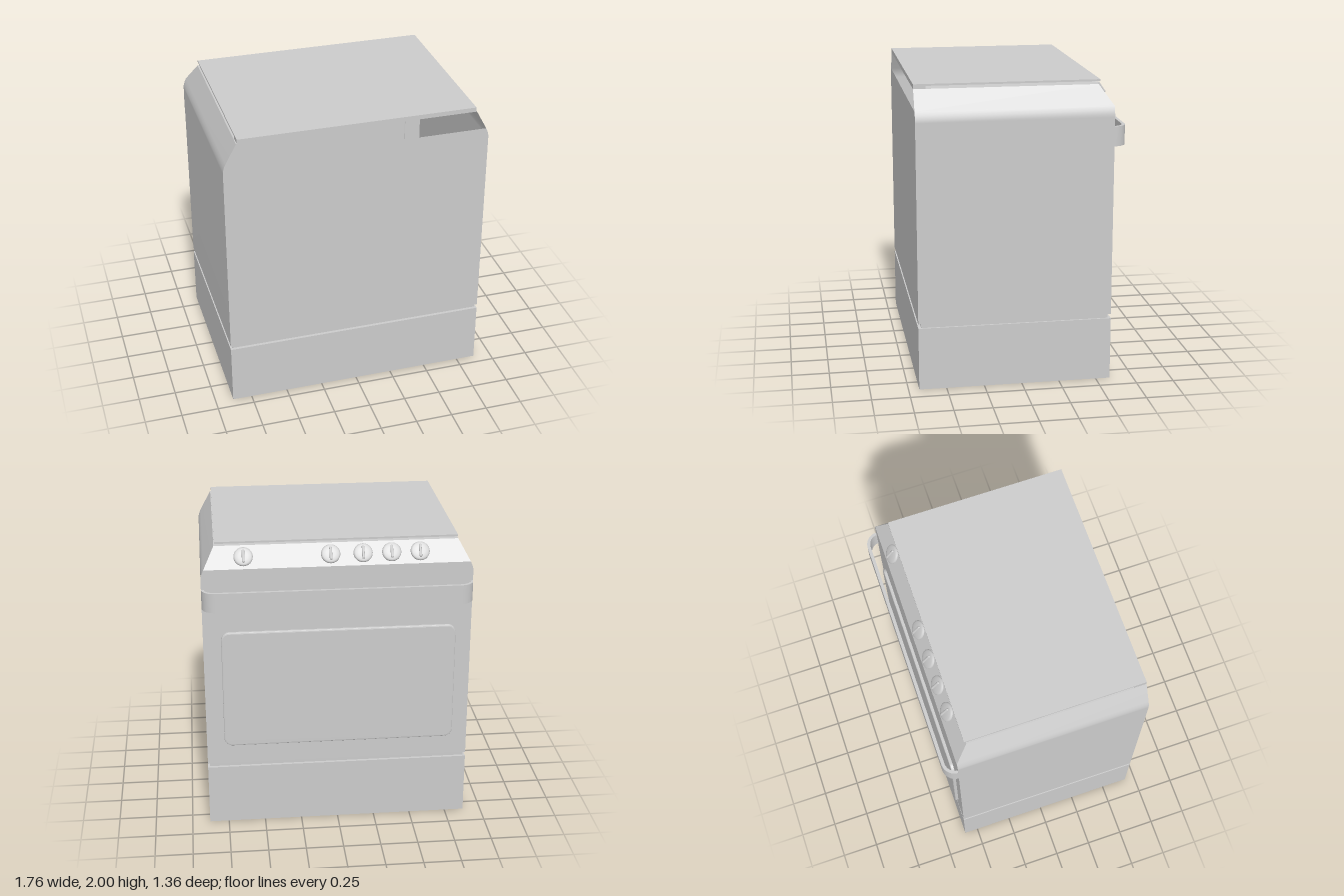
import * as THREE from 'three';

const material = new THREE.MeshStandardMaterial({ color: 0xcccccc });
const sheet = new THREE.MeshStandardMaterial({ color: 0xcccccc, side: THREE.DoubleSide });

const BACK = 0.68, FRONT = -0.595;

// Outline levels of the casing: [y, half width, front z]
const LEVELS = [
  [0.45, 0.88, FRONT], [1.77, 0.88, FRONT], [1.79, 0.879, FRONT], [1.815, 0.872, FRONT],
  [1.84, 0.861, FRONT], [1.97, 0.79, -0.505],
];

function add(parent, name, geometry, x = 0, y = 0, z = 0, mat = material) {
  const mesh = new THREE.Mesh(geometry, mat);
  mesh.name = name;
  mesh.position.set(x, y, z);
  parent.add(mesh);
  return mesh;
}

function box(parent, name, x0, x1, y0, y1, z0, z1) {
  return add(parent, name, new THREE.BoxGeometry(x1 - x0, y1 - y0, z1 - z0),
    (x0 + x1) / 2, (y0 + y1) / 2, (z0 + z1) / 2);
}

// Sheet lofted upwards through rows of [left point, right point], as seen from outside
function panel(parent, name, rows) {
  const geometry = new THREE.BufferGeometry();
  const index = [];
  for (let i = 0; i < rows.length - 1; i++) {
    const a = i * 2;
    index.push(a, a + 1, a + 3, a, a + 3, a + 2);
  }
  geometry.setAttribute('position', new THREE.Float32BufferAttribute(rows.flat(2), 3));
  geometry.setIndex(index);
  geometry.computeVertexNormals();
  return add(parent, name, geometry, 0, 0, 0, sheet);
}

// Hollow casing with a vent opening at the top of the back
function createCasing() {
  const g = new THREE.Group();
  g.name = 'casing';
  const frontRow = ([y, w, z]) => [[w, y, z], [-w, y, z]];
  panel(g, 'ovenFront', LEVELS.slice(0, 5).map(frontRow));
  panel(g, 'controlPanel', LEVELS.slice(4).map(frontRow));
  panel(g, 'backPanel', LEVELS.slice(0, 5).map(([y, w]) => [[-w, y, BACK], [w, y, BACK]]));
  panel(g, 'leftSide', LEVELS.map(([y, w, z]) => [[w, y, BACK], [w, y, z]]));
  panel(g, 'rightSide', LEVELS.map(([y, w, z]) => [[-w, y, z], [-w, y, BACK]]));
  panel(g, 'deck', [
    [[-0.79, 1.97, BACK], [0.79, 1.97, BACK]],
    [[-0.79, 1.97, -0.505], [0.79, 1.97, -0.505]],
  ]);
  panel(g, 'underside', [
    [[-0.88, 0.45, FRONT], [0.88, 0.45, FRONT]],
    [[-0.88, 0.45, BACK], [0.88, 0.45, BACK]],
  ]);
  return g;
}

// Raised oven window with rounded corners
function createWindow() {
  const w = 0.76, h = 0.4, r = 0.045;
  const s = new THREE.Shape();
  s.moveTo(-w + r, -h);
  s.absarc(w - r, -h + r, r, -Math.PI / 2, 0);
  s.absarc(w - r, h - r, r, 0, Math.PI / 2);
  s.absarc(-w + r, h - r, r, Math.PI / 2, Math.PI);
  s.absarc(-w + r, -h + r, r, Math.PI, Math.PI * 1.5);
  return new THREE.ExtrudeGeometry(s, {
    depth: 0.02, bevelThickness: 0.006, bevelSize: 0.01, bevelSegments: 2, curveSegments: 8,
  });
}

// Flat bar bent round to the sides at both ends, drawn in plan
function createHandle() {
  const s = new THREE.Shape();
  s.moveTo(0.88, 0.59);
  s.absellipse(0.79, 0.595, 0.09, 0.085, 0, Math.PI / 2, false);
  s.absellipse(-0.79, 0.595, 0.09, 0.085, Math.PI / 2, Math.PI, false);
  s.lineTo(-0.88, 0.59);
  s.lineTo(-0.862, 0.59);
  s.absellipse(-0.79, 0.595, 0.072, 0.064, Math.PI, Math.PI / 2, true);
  s.absellipse(0.79, 0.595, 0.072, 0.064, Math.PI / 2, 0, true);
  s.lineTo(0.862, 0.59);
  const geometry = new THREE.ExtrudeGeometry(s, { depth: 0.13, bevelEnabled: false, curveSegments: 10 });
  return geometry.rotateX(-Math.PI / 2);
}

// Shallow domed dial with a raised grip, axis along +y
function createKnob(x) {
  const g = new THREE.Group();
  g.name = 'knob';
  const profile = [[0.062, 0], [0.062, 0.007], [0.058, 0.012], [0.05, 0.015], [0.03, 0.019], [0, 0.02]];
  add(g, 'dial', new THREE.LatheGeometry(profile.map((p) => new THREE.Vector2(...p)), 32));
  const grip = add(g, 'grip', new THREE.CapsuleGeometry(0.009, 0.07, 4, 10), 0, 0.02, 0);
  grip.rotation.x = Math.PI / 2;
  g.position.set(x, 1.907, -0.549);
  g.rotation.x = -Math.atan2(0.13, 0.09);
  return g;
}

export function createModel() {
  const model = new THREE.Group();
  model.name = 'cooker';

  // Plinth and shadow gap
  box(model, 'plinth', -0.88, 0.88, 0, 0.42, FRONT, BACK);
  box(model, 'shadowGap', -0.867, 0.867, 0.42, 0.45, -0.575, 0.66);

  model.add(createCasing());

  // Lid on its rear hinge strip
  box(model, 'lid', -0.785, 0.785, 1.988, 2, -0.517, BACK);
  box(model, 'lidHinge', -0.785, 0.785, 1.97, 1.988, 0.6, BACK);

  // Door details
  const pane = add(model, 'ovenWindow', createWindow(), -0.007, 1, -0.59);
  pane.rotation.y = Math.PI;
  add(model, 'doorHandle', createHandle(), 0, 1.58, 0);

  for (const x of [-0.535, -0.35, -0.165, 0.044, 0.604]) model.add(createKnob(x));

  return model;
}
